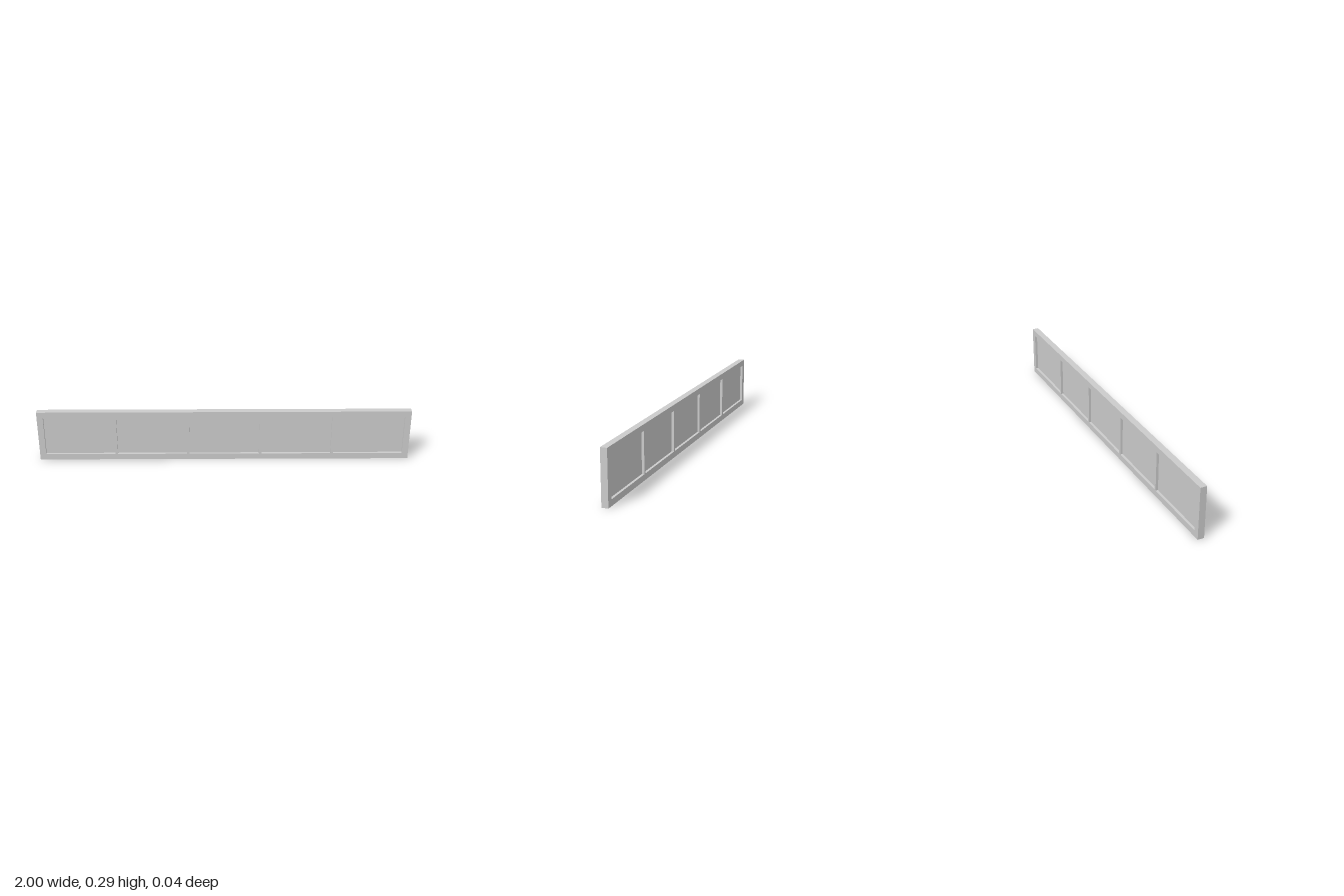
import * as THREE from 'three';

const W = 2, H = 0.286, D = 0.035;   // overall size
const BORDER = 0.033, BAR = 0.0135;  // outer frame and divider widths
const COUNT = 5, PANE_D = 0.008;
const PANE_W = (W - 2 * BORDER - (COUNT - 1) * BAR) / COUNT;
const PANE_H = H - 2 * BORDER;

function rectangle(path, x, y, w, h) {
  path.moveTo(x, y);
  path.lineTo(x + w, y);
  path.lineTo(x + w, y + h);
  path.lineTo(x, y + h);
  path.closePath();
  return path;
}

export function createModel() {
  const group = new THREE.Group();
  group.name = 'transomWindow';
  const material = new THREE.MeshStandardMaterial({ color: 0xcccccc });

  // Frame with one opening per pane; panes sit recessed at mid-depth
  const outline = rectangle(new THREE.Shape(), -W / 2, 0, W, H);
  const paneGeometry = new THREE.BoxGeometry(PANE_W, PANE_H, PANE_D);
  for (let i = 0; i < COUNT; i++) {
    const x = -W / 2 + BORDER + i * (PANE_W + BAR);
    outline.holes.push(rectangle(new THREE.Path(), x, BORDER, PANE_W, PANE_H));
    const pane = new THREE.Mesh(paneGeometry, material);
    pane.name = `pane${i + 1}`;
    pane.position.set(x + PANE_W / 2, H / 2, 0);
    group.add(pane);
  }

  const frameGeometry = new THREE.ExtrudeGeometry(outline, { depth: D, bevelEnabled: false });
  frameGeometry.translate(0, 0, -D / 2);
  const frame = new THREE.Mesh(frameGeometry, material);
  frame.name = 'frame';
  group.add(frame);
  return group;
}
